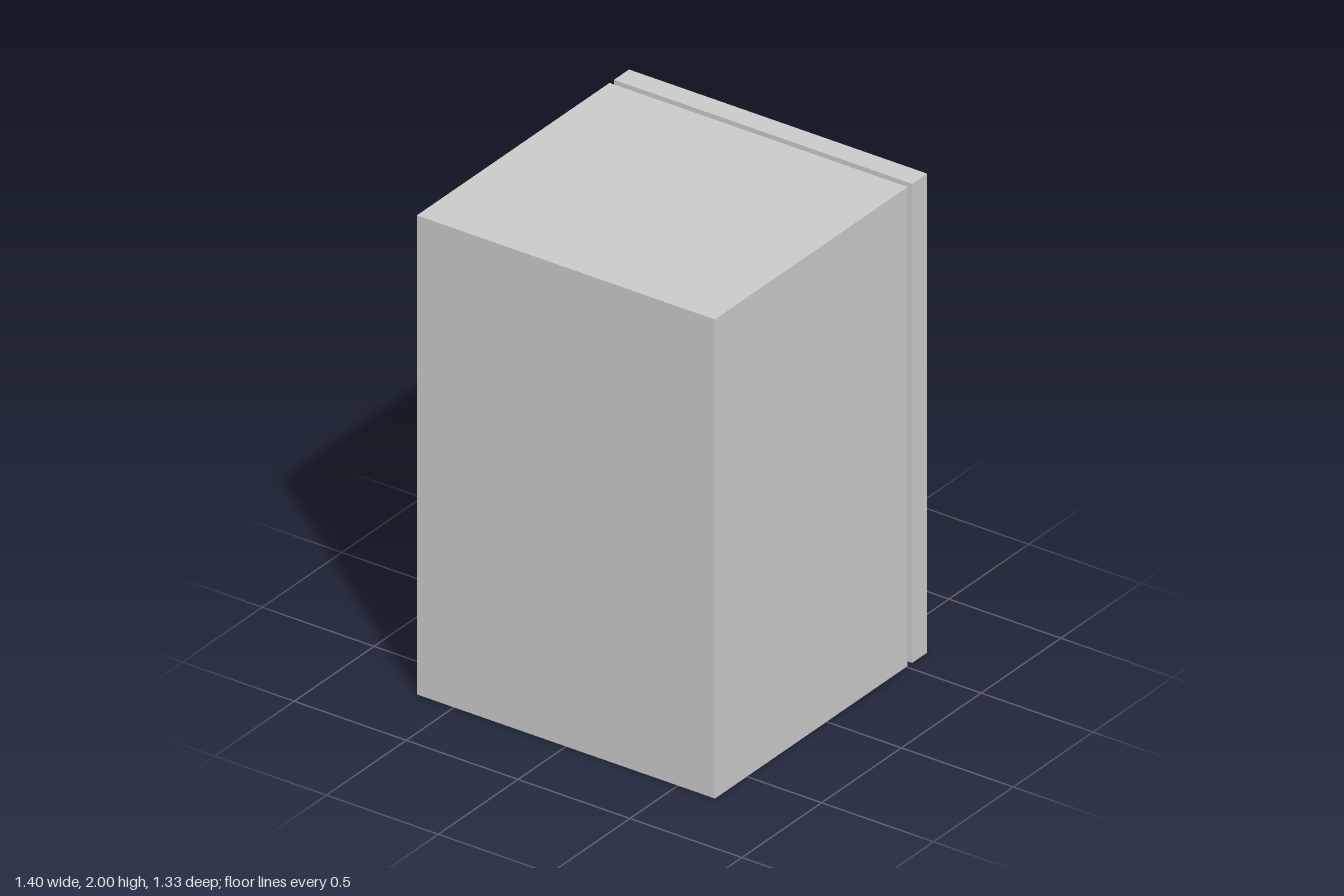
import * as THREE from 'three';

const material = new THREE.MeshStandardMaterial({ color: 0xcccccc, flatShading: true });

// Box given by its minimum and maximum corners
function box(name, [x0, y0, z0], [x1, y1, z1]) {
  const mesh = new THREE.Mesh(new THREE.BoxGeometry(x1 - x0, y1 - y0, z1 - z0), material);
  mesh.position.set((x0 + x1) / 2, (y0 + y1) / 2, (z0 + z1) / 2);
  mesh.name = name;
  return mesh;
}

export function createModel() {
  const group = new THREE.Group();
  group.name = 'cabinet';

  // Cabinet body, recessed spacer and front panel
  group.add(
    box('body', [-0.7, 0, -0.666], [0.508, 2, 0.666]),
    box('spacer', [0.508, 0.12, -0.59], [0.536, 1.885, 0.588]),
    box('panel', [0.536, 0, -0.666], [0.63, 2, 0.666])
  );

  // L-shaped handle profile in plan (x, z), extruded to its height
  const profile = new THREE.Shape([
    [0.63, -0.105], [0.698, -0.105], [0.698, 0.16],
    [0.665, 0.16], [0.665, -0.07], [0.63, -0.07],
  ].map(([x, z]) => new THREE.Vector2(x, -z)));
  const height = 0.037;
  const handleGeometry = new THREE.ExtrudeGeometry(profile, { depth: height, bevelEnabled: false });
  handleGeometry.rotateX(-Math.PI / 2).translate(0, -height / 2, 0);

  // Column of handles
  [0.119, 0.376, 0.63, 0.866, 1.117, 1.361, 1.597, 1.843].forEach((y, i) => {
    const handle = new THREE.Mesh(handleGeometry, material);
    handle.position.y = y;
    handle.name = `handle${i + 1}`;
    group.add(handle);
  });

  return group;
}
